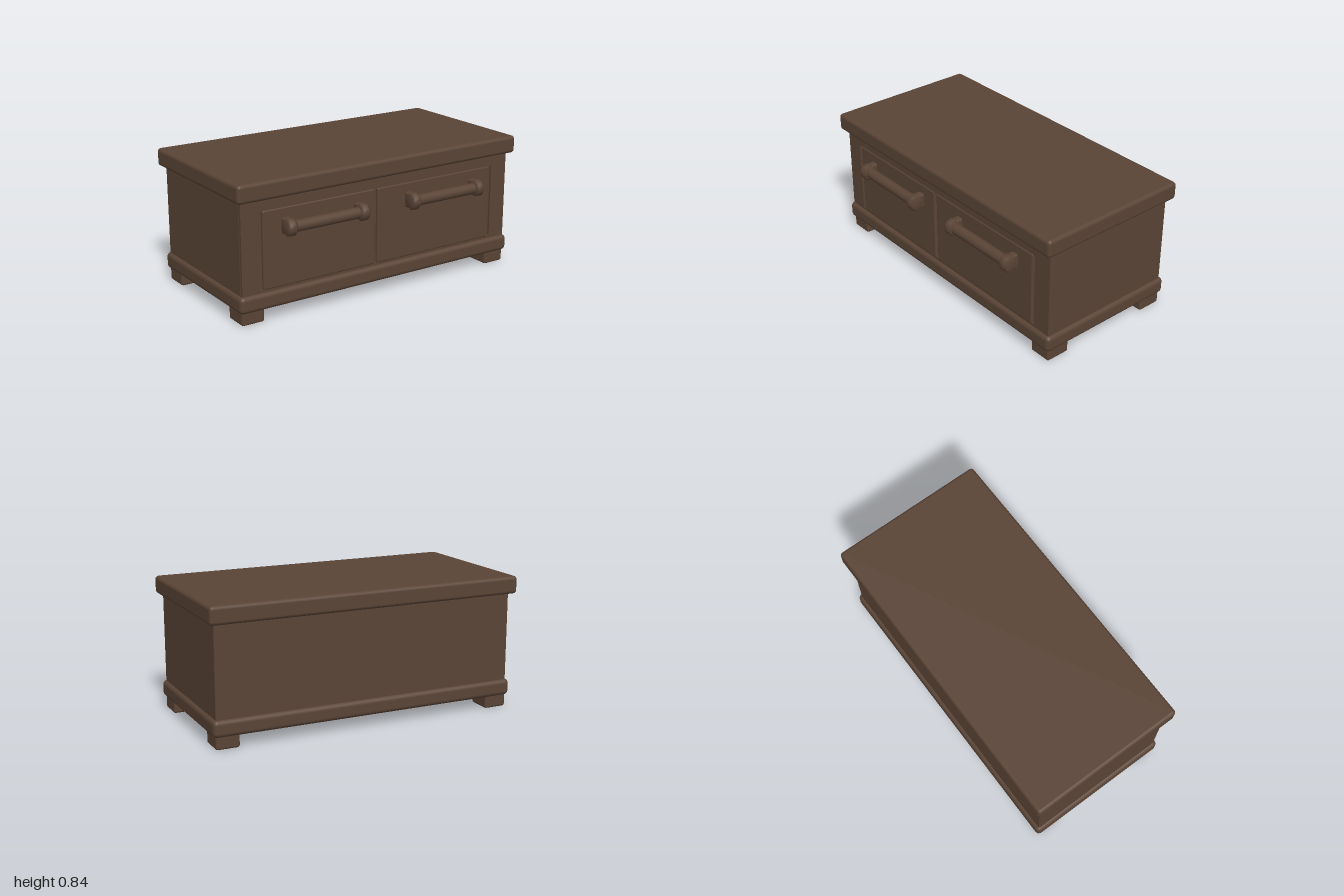
import * as THREE from 'three';
import { RoundedBoxGeometry } from 'three/addons/geometries/RoundedBoxGeometry.js';

export function createModel() {
  const chest = new THREE.Group();
  chest.name = 'drawerChest';
  const wood = new THREE.MeshStandardMaterial({ color: 0x5a4436 });
  wood.name = 'dark brown wood';

  const add = (name, geometry, parent = chest) => {
    const mesh = new THREE.Mesh(geometry, wood);
    mesh.name = name;
    parent.add(mesh);
    return mesh;
  };

  // Rounded block given by its limits on each axis
  const block = (name, [x0, x1], [y0, y1], [z0, z1], radius) => {
    const mesh = add(name, new RoundedBoxGeometry(x1 - x0, y1 - y0, z1 - z0, 3, radius));
    mesh.position.set((x0 + x1) / 2, (y0 + y1) / 2, (z0 + z1) / 2);
    return mesh;
  };

  // Carcass
  block('topSlab', [-1, 1], [0.73, 0.84], [-0.53, 0.467], 0.022);
  block('body', [-0.965, 0.965], [0.1, 0.76], [-0.485, 0.408], 0.008);
  block('basePlinth', [-0.985, 0.985], [0.075, 0.178], [-0.505, 0.442], 0.028);

  // Front frame around the drawer opening
  const rectangle = (target, x0, x1, y0, y1) => {
    target.moveTo(x0, y0);
    target.lineTo(x1, y0);
    target.lineTo(x1, y1);
    target.lineTo(x0, y1);
    target.closePath();
    return target;
  };
  const frame = rectangle(new THREE.Shape(), -0.963, 0.963, 0.12, 0.75);
  frame.holes.push(rectangle(new THREE.Path(), -0.848, 0.846, 0.195, 0.655));
  add('frontFrame', new THREE.ExtrudeGeometry(frame, { depth: 0.022, bevelEnabled: false }))
    .position.z = 0.4;

  // Drawer fronts, separated by narrow gaps
  block('rightDrawer', [-0.826, -0.058], [0.19, 0.66], [0.38, 0.427], 0.01);
  block('leftDrawer', [-0.04, 0.826], [0.19, 0.66], [0.38, 0.427], 0.01);

  // Feet
  for (const side of [-1, 1]) {
    for (const [z0, z1] of [[0.265, 0.422], [-0.487, -0.33]]) {
      const x = [0.822 * side, 0.968 * side].sort((a, b) => a - b);
      block('foot', x, [0, 0.1], [z0, z1], 0.014);
    }
  }

  // Handles: a round bar between two chunky end knobs joined to the drawer
  const knobProfile = [[0, -0.03], [0.04, -0.03], [0.052, -0.017], [0.052, 0.017], [0.04, 0.03], [0, 0.03]]
    .map(([r, y]) => new THREE.Vector2(r, y));
  for (const side of [-1, 1]) {
    const handle = new THREE.Group();
    handle.name = side < 0 ? 'rightHandle' : 'leftHandle';
    handle.position.set(0.433 * side, 0.554, 0.477);
    chest.add(handle);
    add('handleBar', new THREE.CylinderGeometry(0.034, 0.034, 0.5, 16), handle).rotation.z = Math.PI / 2;
    for (const end of [-1, 1]) {
      const knob = add('handleKnob', new THREE.LatheGeometry(knobProfile, 12), handle);
      knob.rotation.z = Math.PI / 2;
      knob.position.x = 0.247 * end;
      const post = add('handlePost', new RoundedBoxGeometry(0.05, 0.095, 0.075, 2, 0.012), handle);
      post.position.set(0.247 * end, 0, -0.038);
    }
  }
  return chest;
}
